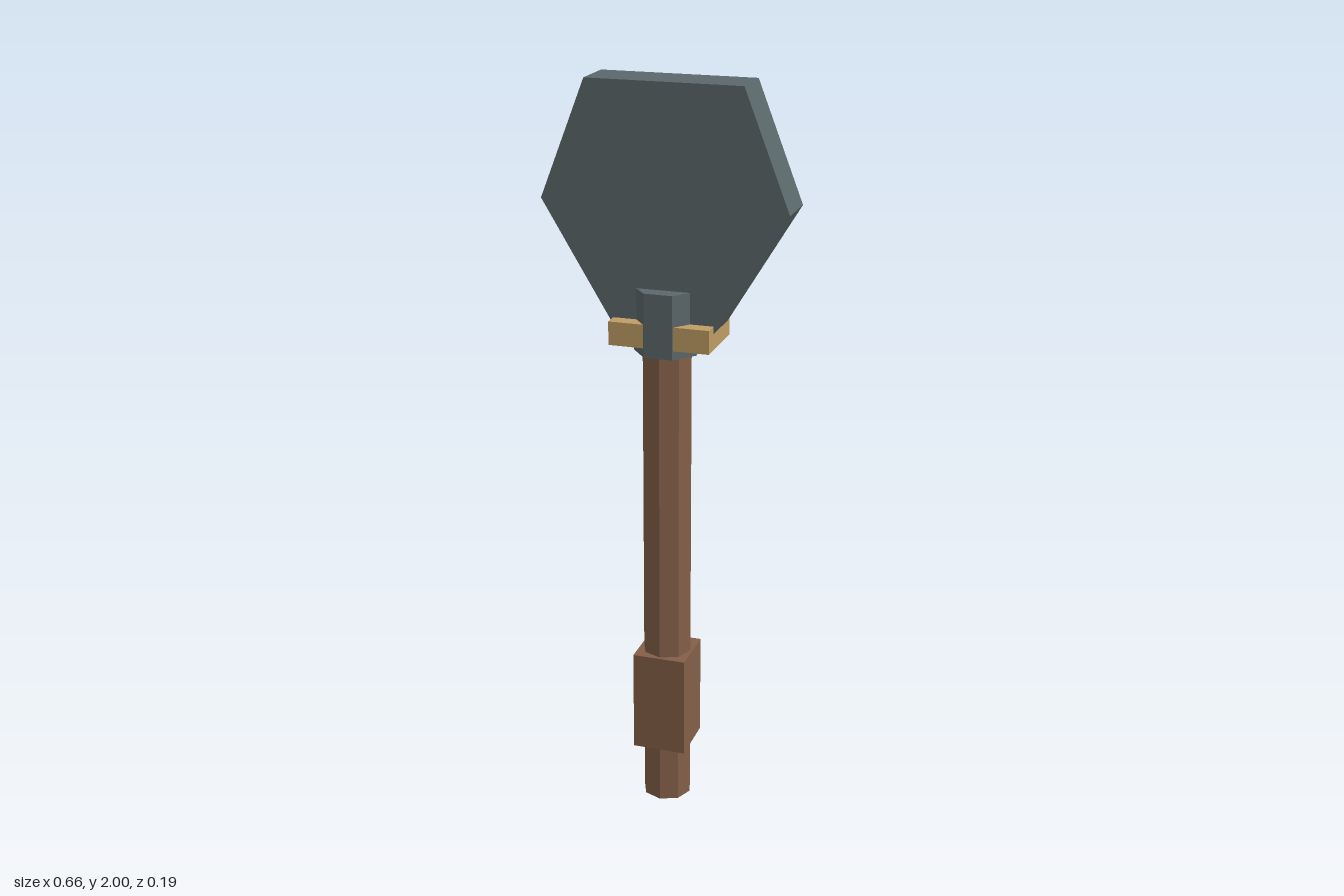
import * as THREE from 'three';

export function createModel() {
  const group = new THREE.Group();
  const material = (name, color) => {
    const m = new THREE.MeshStandardMaterial({ color, flatShading: true });
    m.name = name;
    return m;
  };
  const wood = material('brown wood', 0x845f48);
  const slate = material('slate metal', 0x5b686b);
  const brass = material('brass', 0xc09d64);

  const add = (name, geometry, mat, x, y, z) => {
    const mesh = new THREE.Mesh(geometry, mat);
    mesh.name = name;
    mesh.position.set(x, y, z);
    group.add(mesh);
    return mesh;
  };

  // Octagonal shaft with a square grip
  add('shaft', new THREE.CylinderGeometry(0.067, 0.067, 1.32, 8), wood, 0, 0.66, 0.017);
  add('grip', new THREE.BoxGeometry(0.146, 0.282, 0.15), wood, 0, 0.304, 0.017);

  // Seven-sided collar, flat side to the front
  const collar = new THREE.CylinderGeometry(0.088, 0.088, 0.17, 7);
  collar.rotateY(Math.PI / 7);
  add('collar', collar, slate, 0, 1.388, 0.0135);

  // Crosswise guard
  add('guard', new THREE.BoxGeometry(0.27, 0.063, 0.185), brass, 0, 1.3585, -0.0025);

  // Thick six-sided blade
  const outline = new THREE.Shape([
    [-0.135, 1.37], [0.135, 1.37], [0.328, 1.69],
    [0.207, 2], [-0.207, 2], [-0.328, 1.69],
  ].map(([x, y]) => new THREE.Vector2(x, y)));
  const blade = new THREE.ExtrudeGeometry(outline, { depth: 0.128, bevelEnabled: false });
  add('blade', blade, slate, 0, 0, -0.078);

  return group;
}
